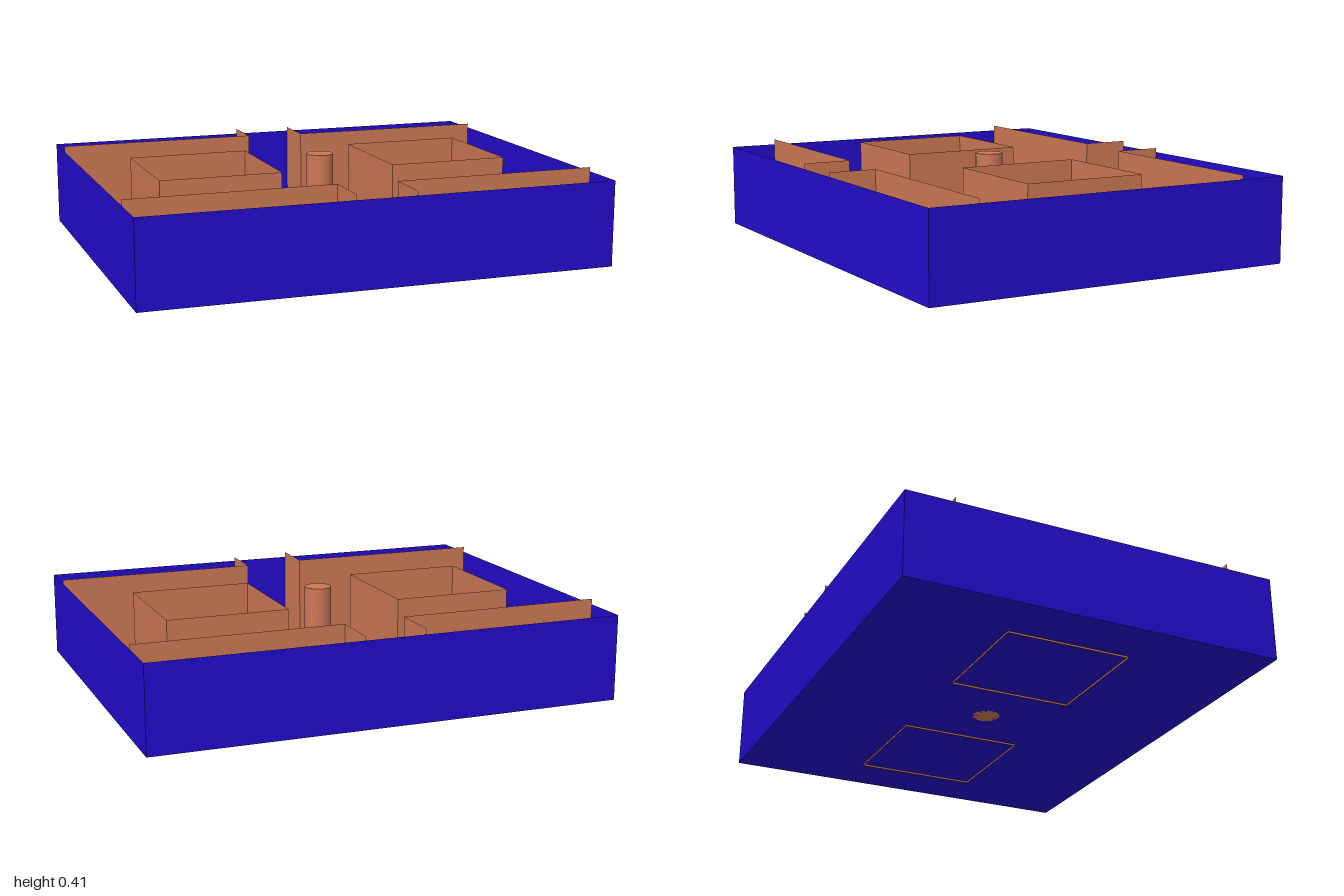
import * as THREE from 'three';

const blue = new THREE.MeshStandardMaterial({ color: 0x230bcb, side: THREE.DoubleSide });
const clay = new THREE.MeshStandardMaterial({ color: 0xcc7755, side: THREE.DoubleSide });

// Thin upright panels following a path of [x, z] points
function panels(name, points, y0, y1, material) {
  const group = new THREE.Group();
  group.name = name;
  for (let i = 0; i < points.length - 1; i++) {
    const [xa, za] = points[i];
    const [xb, zb] = points[i + 1];
    const panel = new THREE.Mesh(
      new THREE.PlaneGeometry(Math.hypot(xb - xa, zb - za), y1 - y0), material);
    panel.name = `${name}Panel${i + 1}`;
    panel.position.set((xa + xb) / 2, (y0 + y1) / 2, (za + zb) / 2);
    panel.rotation.y = -Math.atan2(zb - za, xb - xa);
    group.add(panel);
  }
  return group;
}

// Closed rectangle, counter-clockwise from above so panels face outwards
const rectangle = (x0, x1, z0, z1) => [[x0, z1], [x1, z1], [x1, z0], [x0, z0], [x0, z1]];

export function createModel() {
  const model = new THREE.Group();
  model.name = 'walledArena';
  const W = 1, D = 0.806, floorY = 0.008;

  // Floor and outer walls of the open tray
  const floor = new THREE.Mesh(new THREE.PlaneGeometry(2 * W, 2 * D), blue);
  floor.name = 'floor';
  floor.rotation.x = -Math.PI / 2;
  floor.position.y = floorY;
  model.add(floor, panels('outerWall', rectangle(-W, W, -D, D), floorY, 0.37, blue));

  // L-shaped partitions enclosing the four corners
  for (const [side, sx, inner, top] of [['right', -1, 0.132, 0.394], ['left', 1, 0.126, 0.388]]) {
    for (const [end, sz] of [['Front', 1], ['Back', -1]]) {
      const path = [[sx * W, sz * 0.6], [sx * inner, sz * 0.6], [sx * inner, sz * D]];
      model.add(panels(`${side}${end}Partition`, path, floorY, top, clay));
    }
  }

  // Two open-topped square enclosures
  model.add(panels('rightEnclosure', rectangle(-0.77, -0.25, -0.275, 0.257), 0, 0.385, clay));
  model.add(panels('leftEnclosure', rectangle(0.245, 0.765, -0.275, 0.257), 0, 0.385, clay));

  // Round post in the centre
  const height = 0.405 - floorY;
  const post = new THREE.Mesh(new THREE.CylinderGeometry(0.058, 0.058, height, 32), clay);
  post.name = 'centrePost';
  post.position.set(0.008, floorY + height / 2, 0);
  model.add(post);

  return model;
}
